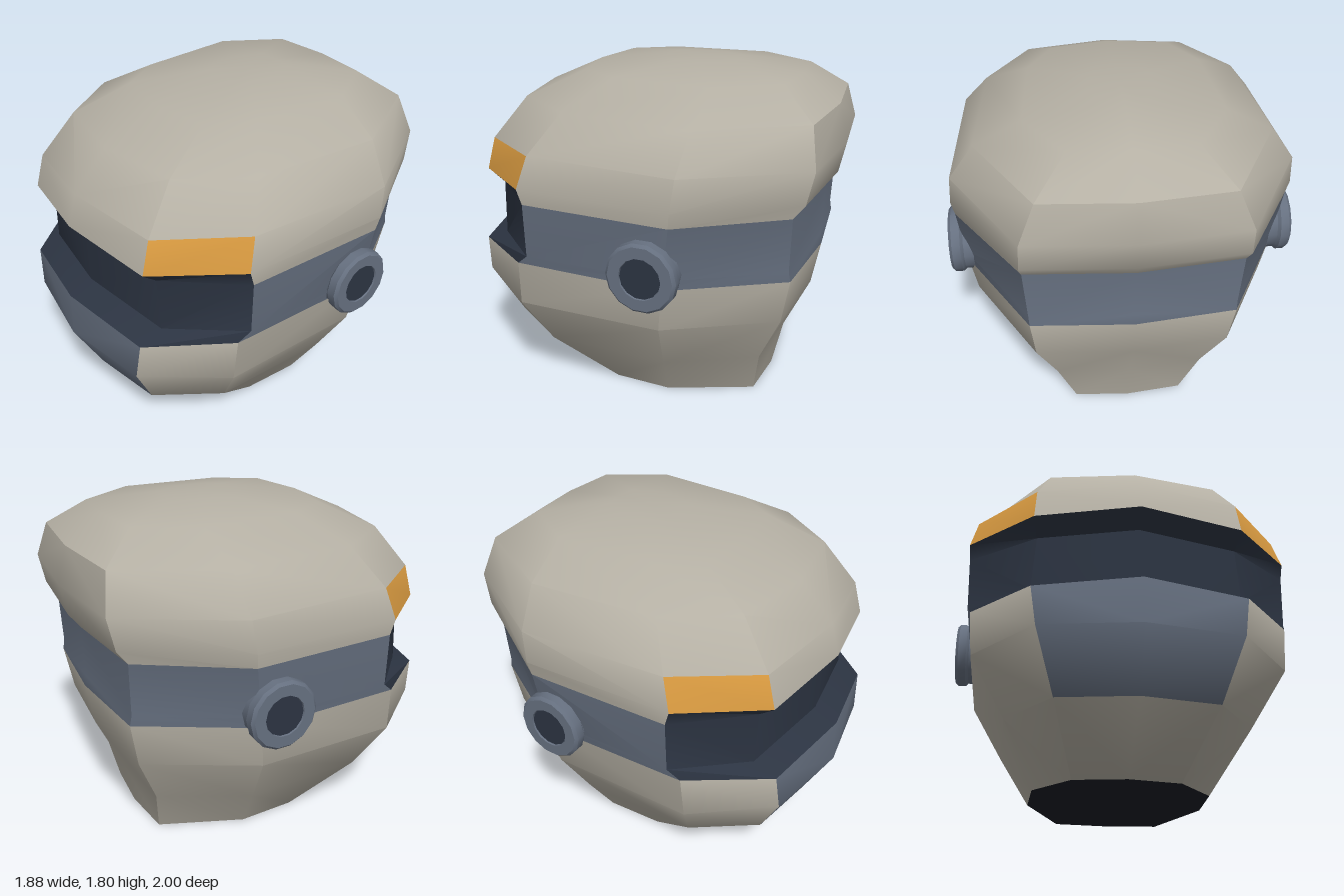
import * as THREE from 'three';
import { toCreasedNormals } from 'three/addons/utils/BufferGeometryUtils.js';

const mat = (name, color) => new THREE.MeshStandardMaterial({ name, color });

// Ten-sided cross-section, listed from the front centre round the left side to the back and on
function makeRing({ y, front, corner, cheek, side, back, dip = 0 }) {
  const backCorner = side * 0.62;
  const half = [
    [0, y, front],
    [corner, y - dip, front - corner * 0.17],
    [cheek[0], y, cheek[1]],
    [side, y, Math.max(-0.19 - 0.13 * y, back * 0.6)],
    [backCorner, y, back + backCorner * 0.09],
    [0, y, back],
  ];
  return [...half, ...half.slice(1, 5).reverse().map(([x, h, z]) => [-x, h, z])];
}

// Levels from the neck up; dip lowers the front corners around the visor
const rings = [
  { y: 0, front: 0.4, corner: 0.28, cheek: [0.47, 0.13], side: 0.485, back: -0.66 },
  { y: 0.27, front: 0.84, corner: 0.4, cheek: [0.63, 0.45], side: 0.65, back: -0.72 },
  { y: 0.57, front: 1, corner: 0.5, cheek: [0.81, 0.53], side: 0.82, back: -0.86 },
  { y: 0.815, front: 0.99, corner: 0.53, cheek: [0.83, 0.52], side: 0.855, back: -0.905, dip: 0.035 },
  { y: 0.87, front: 0.86, corner: 0.53, cheek: [0.85, 0.455], side: 0.86, back: -0.895, dip: 0.035 },
  { y: 1.16, front: 0.86, corner: 0.51, cheek: [0.86, 0.455], side: 0.885, back: -0.905, dip: 0.035 },
  { y: 1.24, front: 0.95, corner: 0.53, cheek: [0.865, 0.48], side: 0.9, back: -0.965, dip: 0.04 },
  { y: 1.41, front: 0.9, corner: 0.52, cheek: [0.83, 0.43], side: 0.885, back: -1, dip: 0.03 },
  { y: 1.61, front: 0.71, corner: 0.45, cheek: [0.69, 0.3], side: 0.75, back: -0.95 },
  { y: 1.75, front: 0.4, corner: 0.32, cheek: [0.46, 0.12], side: 0.5, back: -0.75 },
  { y: 1.8, front: 0, corner: 0.11, cheek: [0.16, -0.1], side: 0.17, back: -0.4 },
].map(makeRing);

// Which part a panel belongs to, by its level and its segment from front (0) to back (4)
function partAt(level, seg) {
  if (level >= 3 && level <= 5 && seg < 2) return 'visor';
  if (level === 3 || level === 4) return 'sideBand';
  if ((level === 1 || level === 2) && seg === 0) return 'mouthPlate';
  if (level === 6 && seg === 1) return 'browMarkers';
  return 'shell';
}

function addHelmet(group, materials) {
  const parts = { shell: [], visor: [], sideBand: [], mouthPlate: [], browMarkers: [], neckBase: [] };
  const n = rings[0].length;
  for (let k = 0; k < rings.length - 1; k++) {
    for (let i = 0; i < n; i++) {
      const j = (i + 1) % n, left = i < 5;
      const a = rings[k][i], b = rings[k][j], c = rings[k + 1][j], d = rings[k + 1][i];
      // diagonals are mirrored on the two halves
      const tris = left ? [a, b, c, a, c, d] : [a, b, d, b, c, d];
      parts[partAt(k, left ? i : 9 - i)].push(...tris);
    }
  }
  // crown cap and neck base
  const top = [0, 1.805, -0.2], bottom = [0, 0, -0.15];
  for (let i = 0; i < n; i++) {
    const j = (i + 1) % n;
    parts.shell.push(rings.at(-1)[i], rings.at(-1)[j], top);
    parts.neckBase.push(rings[0][j], rings[0][i], bottom);
  }
  // shade everything together so normals run on across colour borders
  const whole = new THREE.BufferGeometry();
  whole.setAttribute('position', new THREE.Float32BufferAttribute(Object.values(parts).flat(2), 3));
  const smooth = toCreasedNormals(whole, 0.6);
  let start = 0;
  for (const [name, points] of Object.entries(parts)) {
    const geo = new THREE.BufferGeometry();
    const end = start + points.length * 3;
    for (const key of ['position', 'normal']) {
      geo.setAttribute(key, new THREE.BufferAttribute(smooth.getAttribute(key).array.slice(start, end), 3));
    }
    start = end;
    const mesh = new THREE.Mesh(geo, materials[name]);
    mesh.name = name;
    group.add(mesh);
  }
}

// Round ear piece: bevelled ring with a dark disc in its middle
function makeEar(side, ringMat, discMat) {
  const ear = new THREE.Group();
  ear.name = side > 0 ? 'leftEar' : 'rightEar';
  const profile = [[0.17, -0.06], [0.17, 0.015], [0.185, 0.03], [0.185, 0.075], [0.17, 0.09], [0.11, 0.09], [0.105, 0.07]];
  const lathe = new THREE.LatheGeometry(profile.map(([r, h]) => new THREE.Vector2(r, h)), 14);
  const ring = new THREE.Mesh(toCreasedNormals(lathe, 0.5), ringMat);
  ring.name = 'earRing';
  const disc = new THREE.Mesh(new THREE.CylinderGeometry(0.107, 0.107, 0.008, 14), discMat);
  disc.name = 'earDisc';
  disc.position.y = 0.078;
  ear.add(ring, disc);
  ear.rotation.z = -side * Math.PI / 2;
  ear.position.set(side * 0.85, 0.9, -0.215);
  return ear;
}

export function createModel() {
  const group = new THREE.Group();
  group.name = 'helmet';
  const shell = mat('warm grey shell', 0xb5b0a4);
  const slate = mat('slate panel', 0x667080);
  const dark = mat('dark visor', 0x2c3442);
  const base = mat('black base', 0x1a1d25);
  const amber = mat('amber marker', 0xd4973f);
  addHelmet(group, { shell, visor: dark, sideBand: slate, mouthPlate: slate, browMarkers: amber, neckBase: base });
  for (const side of [1, -1]) group.add(makeEar(side, slate, dark));
  return group;
}
